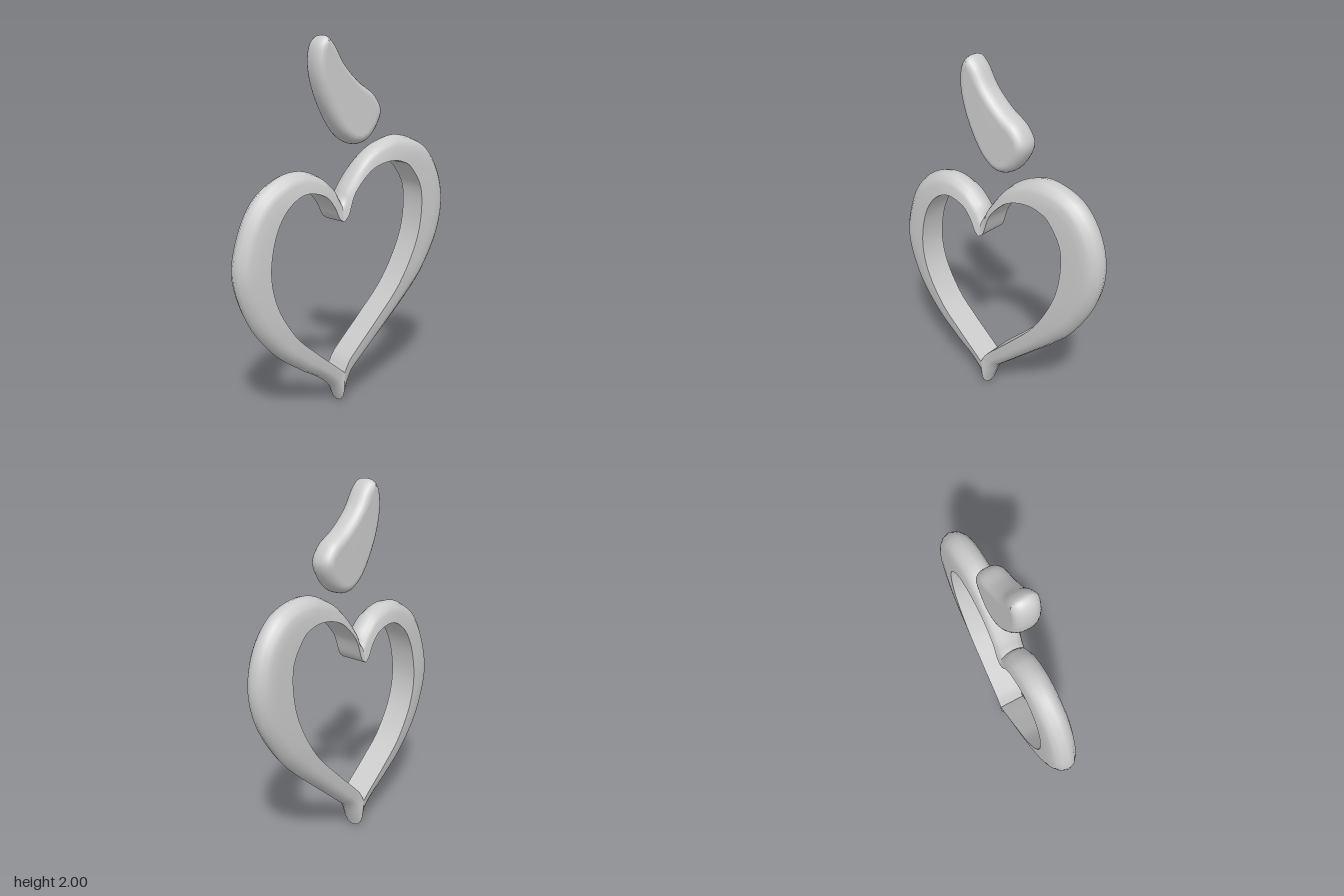
import * as THREE from 'three';
import { mergeVertices } from 'three/addons/utils/BufferGeometryUtils.js';

// Each row pairs a point of the outer edge with one of the inner edge: outer x, y, inner x, y
const RIGHT_HALF = [
  [-0.06, 0, -0.065, 0.185], [-0.037, 0.06, -0.055, 0.205], [0.01, 0.155, -0.03, 0.25],
  [0.09, 0.23, 0.02, 0.305], [0.245, 0.37, 0.165, 0.45], [0.42, 0.53, 0.325, 0.625],
  [0.54, 0.665, 0.44, 0.83], [0.655, 0.865, 0.485, 1.0], [0.697, 1.065, 0.48, 1.17],
  [0.655, 1.26, 0.405, 1.29], [0.54, 1.41, 0.345, 1.325], [0.36, 1.472, 0.275, 1.337],
  [0.22, 1.445, 0.19, 1.325], [0.09, 1.36, 0.105, 1.285], [-0.02, 1.225, 0.01, 1.185],
  [-0.05, 1.175, -0.035, 1.07], [-0.065, 1.15, -0.07, 1.035],
];
const LEFT_HALF = [
  [-0.065, 1.15, -0.07, 1.035], [-0.08, 1.185, -0.1, 1.06], [-0.11, 1.22, -0.13, 1.12],
  [-0.19, 1.283, -0.185, 1.18], [-0.31, 1.317, -0.285, 1.207], [-0.44, 1.29, -0.37, 1.18],
  [-0.575, 1.19, -0.45, 1.1], [-0.665, 1.02, -0.505, 0.97], [-0.702, 0.8, -0.525, 0.8],
  [-0.62, 0.55, -0.485, 0.63], [-0.47, 0.36, -0.38, 0.46], [-0.31, 0.24, -0.25, 0.34],
  [-0.18, 0.16, -0.14, 0.25], [-0.105, 0.09, -0.08, 0.2], [-0.06, 0, -0.065, 0.185],
];
// Rounded outer edge: distance in from the outer edge, and half thickness there
const ROUNDING = [[0.12, 0.077], [0.07, 0.071], [0.04, 0.06], [0.012, 0.035], [0, 0]];
const HALF_DEPTH = 0.08;
const STEPS = 80;

// Smooth surface over a grid of points
function surface(rows, name) {
  const cols = rows[0].length, index = [];
  for (let u = 0; u < rows.length - 1; u++) {
    for (let v = 0; v < cols - 1; v++) {
      const a = u * cols + v, c = a + cols;
      index.push(a, a + 1, c, a + 1, c + 1, c);
    }
  }
  const geometry = new THREE.BufferGeometry().setFromPoints(rows.flat());
  geometry.setIndex(index);
  geometry.computeVertexNormals();
  const mesh = new THREE.Mesh(geometry, new THREE.MeshStandardMaterial({ color: 0xcccccc, side: THREE.DoubleSide }));
  mesh.name = name;
  return mesh;
}

// One half of the heart: rounded outside and flat inner wall, meeting at a sharp edge
function heartHalf(table, name) {
  const outer = new THREE.SplineCurve(table.map(r => new THREE.Vector2(r[0], r[1])));
  const inner = new THREE.SplineCurve(table.map(r => new THREE.Vector2(r[2], r[3])));
  const shell = [], wall = [];
  for (let i = 0; i <= STEPS; i++) {
    const o = outer.getPoint(i / STEPS), n = inner.getPoint(i / STEPS);
    const width = o.distanceTo(n);
    const fit = Math.min(1, 0.9 * width / 0.12);
    const at = (d, z) => {
      const p = o.clone().lerp(n, d / width);
      return new THREE.Vector3(p.x, p.y, z);
    };
    const front = [[width, HALF_DEPTH], ...ROUNDING.map(([d, z]) => [d * fit, z])];
    const back = front.slice(0, -1).reverse().map(([d, z]) => [d, -z]);
    shell.push([...front, ...back].map(([d, z]) => at(d, z)));
    wall.push([at(width, -HALF_DEPTH), at(width, HALF_DEPTH)]);
  }
  const half = new THREE.Group();
  half.name = name;
  half.add(surface(shell, name + 'Shell'), surface(wall, name + 'InnerWall'));
  return half;
}

// Pillowy leaf floating above the heart
function makeLeaf() {
  const outline = [
    [-0.155, 2.0], [-0.2, 1.965], [-0.22, 1.87], [-0.2, 1.745], [-0.135, 1.595], [-0.055, 1.485],
    [0.035, 1.437], [0.115, 1.455], [0.18, 1.525], [0.213, 1.615], [0.165, 1.7], [0.06, 1.77],
    [-0.035, 1.86], [-0.105, 1.965],
  ].map(([x, y]) => new THREE.Vector3(x, y, 0));
  const points = new THREE.CatmullRomCurve3(outline, true).getPoints(72).slice(0, -1);
  const shape = new THREE.Shape(points.map(p => new THREE.Vector2(p.x, p.y)));
  let geometry = new THREE.ExtrudeGeometry(shape, {
    depth: 0.02, bevelThickness: 0.06, bevelSize: 0.045, bevelOffset: -0.045, bevelSegments: 6,
  });
  geometry.translate(0, 0, -0.01);
  geometry.deleteAttribute('normal');
  geometry.deleteAttribute('uv');
  geometry = mergeVertices(geometry);
  geometry.computeVertexNormals();
  const leaf = new THREE.Mesh(geometry, new THREE.MeshStandardMaterial({ color: 0xcccccc }));
  leaf.name = 'leaf';
  return leaf;
}

export function createModel() {
  const model = new THREE.Group();
  model.name = 'heartWithLeaf';
  model.add(heartHalf(RIGHT_HALF, 'heartLeftHalf'), heartHalf(LEFT_HALF, 'heartRightHalf'), makeLeaf());
  return model;
}
